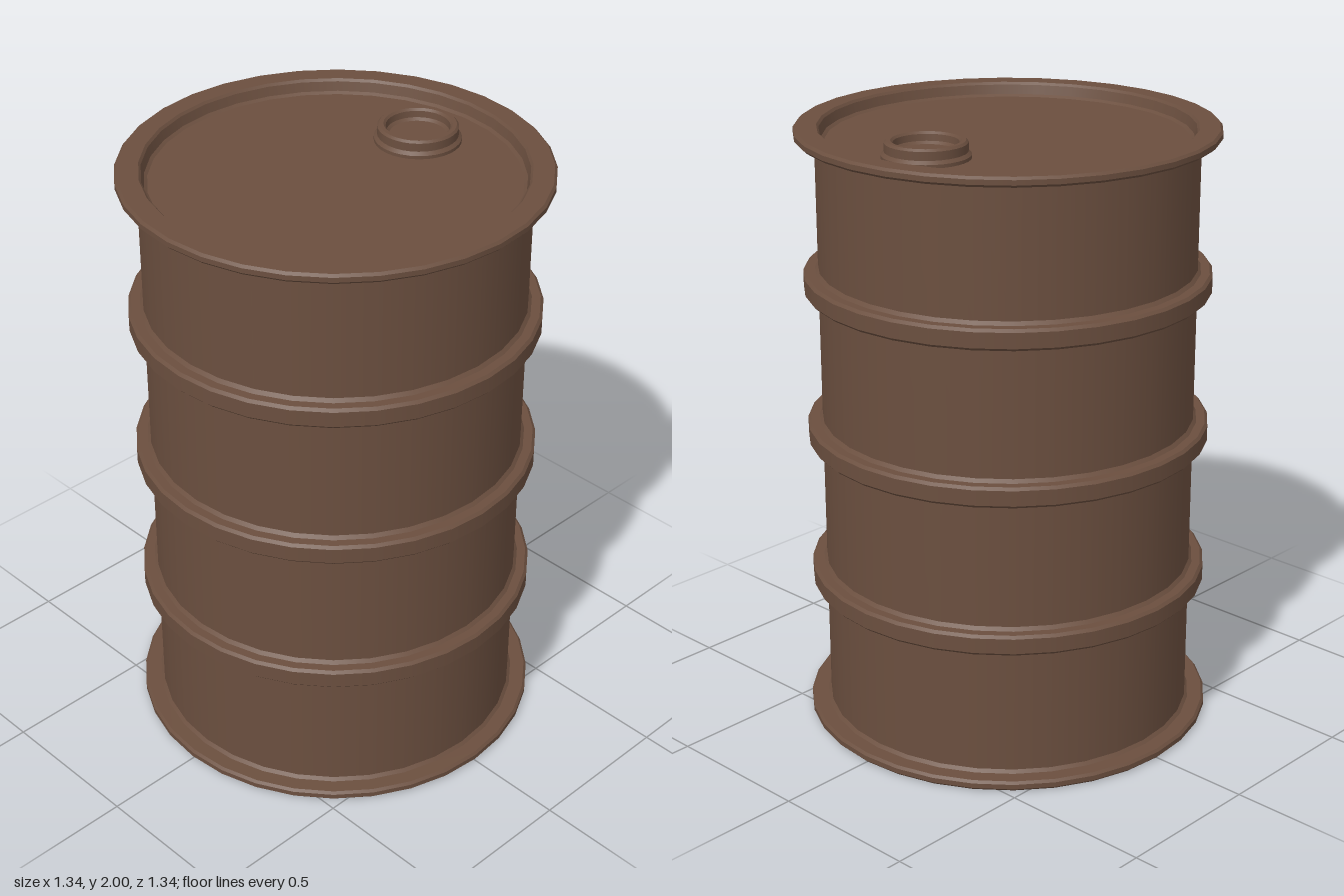
import * as THREE from 'three';
import { mergeGeometries } from 'three/addons/utils/BufferGeometryUtils.js';

const material = new THREE.MeshStandardMaterial({ color: 0x6b4f3f });

// Revolve a profile, smooth around the axis but crisp between its bands
function turned(name, profile, sides = 32) {
  const points = profile.map(([r, y]) => new THREE.Vector2(r, y));
  const bands = points.slice(1).map((p, i) => new THREE.LatheGeometry([points[i], p], sides));
  const mesh = new THREE.Mesh(mergeGeometries(bands), material);
  mesh.name = name;
  return mesh;
}

export function createModel() {
  const group = new THREE.Group();
  group.name = 'barrel';
  const R = 0.605;

  // End cap: recessed disc, inner wall and rounded flange, from centre outwards
  const end = [
    [0, 0.045], [0.572, 0.045], [0.582, 0.038], [0.59, 0.008], [0.597, 0],
    [0.662, 0], [0.67, 0.008], [0.67, 0.024], [0.662, 0.032], [0.615, 0.032], [R, 0.042],
  ];
  group.add(turned('bottomEnd', end));
  group.add(turned('topEnd', end.map(([r, y]) => [r, 1.99 - y]).reverse()));

  // Wall sections with rolling hoops between them
  const hoops = [0.5, 0.995, 1.495];
  const stops = [0.042, ...hoops.flatMap((y) => [y - 0.045, y + 0.045]), 1.948];
  for (let i = 0; i < stops.length; i += 2) {
    group.add(turned('wallSection', [[R, stops[i]], [R, stops[i + 1]]]));
  }
  for (const y of hoops) {
    group.add(turned('rollingHoop', [
      [R, y - 0.045], [0.615, y - 0.034], [0.643, y - 0.034], [0.652, y - 0.025],
      [0.652, y + 0.025], [0.643, y + 0.034], [0.615, y + 0.034], [R, y + 0.045],
    ]));
  }

  // Filler neck with a sunken plug near the back of the lid
  const neck = turned('fillerNeck', [
    [0.138, 1.944], [0.138, 1.956], [0.128, 1.966], [0.128, 1.993], [0.121, 2],
    [0.108, 2], [0.101, 1.993], [0.099, 1.972], [0.09, 1.964], [0, 1.964],
  ]);
  neck.position.z = -0.358;
  group.add(neck);

  return group;
}
